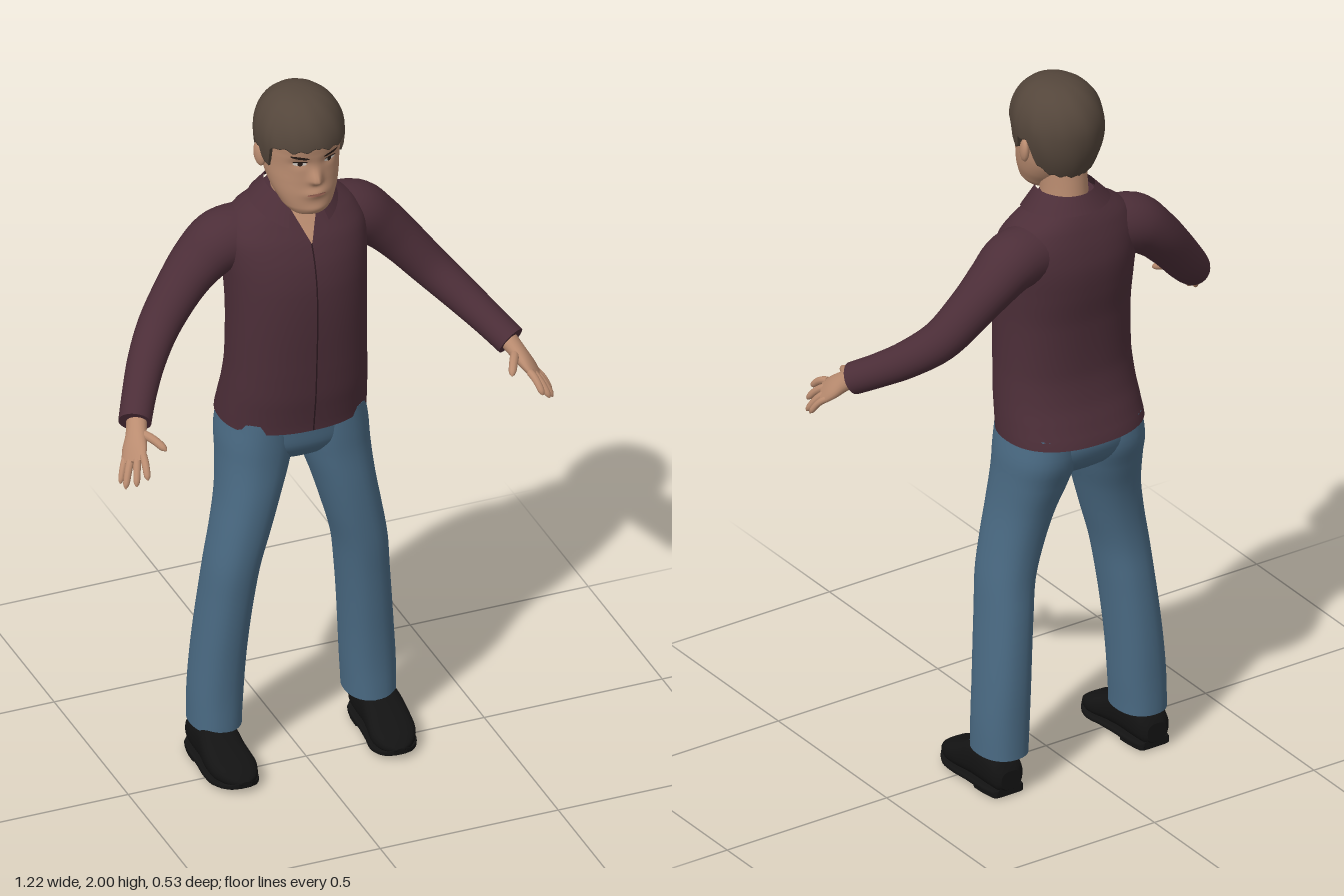
import * as THREE from 'three';

const mat = (name, color, side = THREE.FrontSide) => {
  const m = new THREE.MeshStandardMaterial({ color, side });
  m.name = name;
  return m;
};

// Smooth lookup in a table whose first column ascends
function at(rows, k) {
  let i = 0;
  while (i < rows.length - 2 && k > rows[i + 1][0]) i++;
  const b = rows[i], c = rows[i + 1], a = rows[i - 1] || b, d = rows[i + 2] || c;
  const t = (k - b[0]) / (c[0] - b[0]);
  return b.map((_, j) => j === 0 ? k : b[j] + 0.5 * t * (c[j] - a[j]
    + t * (2 * a[j] - 5 * b[j] + 4 * c[j] - d[j] + t * (3 * (b[j] - c[j]) + d[j] - a[j]))));
}

// Surface from fn(u, v); closed ones wrap in u and get end caps
function grid(fn, nu, nv, closed = true) {
  const pos = [], idx = [], w = closed ? nu : nu + 1;
  for (let j = 0; j <= nv; j++) for (let i = 0; i < w; i++) pos.push(...fn(i / nu, j / nv));
  for (let j = 0; j < nv; j++) for (let i = 0; i < nu; i++) {
    const a = j * w + i, b = j * w + (i + 1) % w;
    idx.push(a, b, a + w, b, b + w, a + w);
  }
  if (closed) for (const j of [0, nv]) {
    const ring = pos.slice(j * w * 3, (j + 1) * w * 3), s = pos.length / 3, c = [0, 0, 0];
    ring.forEach((p, i) => { c[i % 3] += p / w; });
    pos.push(...ring, ...c);
    for (let i = 0; i < w; i++) {
      const n = s + (i + 1) % w;
      idx.push(...(j ? [s + i, n, s + w] : [n, s + i, s + w]));
    }
  }
  const g = new THREE.BufferGeometry();
  g.setAttribute('position', new THREE.Float32BufferAttribute(pos, 3));
  g.setIndex(idx);
  g.computeVertexNormals();
  return g;
}

function mirrored(g) {
  const m = g.clone().scale(-1, 1, 1), a = m.index.array;
  for (let i = 0; i < a.length; i += 3) [a[i], a[i + 1]] = [a[i + 1], a[i]];
  m.computeVertexNormals();
  return m;
}

const sp = (c, e) => Math.sign(c) * Math.abs(c) ** (2 / e);

// Upright loft; rows are [y, centreX, halfWidth, frontZ, backZ]
function loft(rows, nu, nv, e = 2, extra = () => 0) {
  const y0 = rows[0][0], y1 = rows[rows.length - 1][0];
  return grid((u, v) => {
    const [y, cx, rx, zf, zb] = at(rows, y0 + (y1 - y0) * v), th = u * Math.PI * 2;
    const x = cx + rx * sp(Math.sin(th), e), c = Math.cos(th);
    return [x, y, (zf + zb) / 2 + (zf - zb) / 2 * sp(c, e) + (c > 0 ? extra(x, y) : 0)];
  }, nu, nv);
}

// Front surface depth of a loft at x, y
function frontZ(rows, x, y, e) {
  const [, , rx, zf, zb] = at(rows, y);
  return (zf + zb) / 2 + (zf - zb) / 2 * Math.max(0, 1 - Math.abs(x / rx) ** e) ** (1 / e);
}

// Limb along a path; points are [x, y, z, radius over the back, radius sideways]
const REF = new THREE.Vector3(0.73, 0.64, 0.22);
function limb(points, nu, nv) {
  const rows = points.map((p, i) => [i / (points.length - 1), ...p]);
  const P = t => new THREE.Vector3(...at(rows, t).slice(1, 4));
  return grid((u, v) => {
    const T = P(Math.min(1, v + 0.02)).sub(P(Math.max(0, v - 0.02))).normalize();
    const N = REF.clone().addScaledVector(T, -REF.dot(T)).normalize();
    const B = T.clone().cross(N), r = at(rows, v), a = u * Math.PI * 2;
    return P(v).addScaledVector(N, r[4] * Math.cos(a)).addScaledVector(B, r[5] * Math.sin(a)).toArray();
  }, nu, nv);
}

const TORSO = [[1.015, 0, .2, .048, -.265], [1.05, 0, .198, .052, -.252], [1.12, 0, .193, .062, -.227],
  [1.2, 0, .188, .068, -.212], [1.35, 0, .186, .075, -.215], [1.45, 0, .189, .072, -.228],
  [1.52, 0, .193, .058, -.231], [1.58, 0, .19, .033, -.22], [1.63, 0, .16, 0, -.203],
  [1.66, 0, .11, -.018, -.186], [1.69, 0, .07, -.028, -.165]];
const HIPS = [[.885, 0, .05, -.05, -.13], [.91, 0, .13, -.01, -.19], [.95, 0, .19, .018, -.225],
  [1, 0, .195, .026, -.238], [1.06, 0, .183, .03, -.22]];
const LEG = [[.11, .217, .068, -.018, -.187], [.2, .214, .07, -.019, -.186], [.3, .208, .069, -.014, -.185],
  [.4, .2, .068, -.005, -.18], [.5, .19, .068, .005, -.172], [.6, .178, .07, .016, -.163],
  [.7, .156, .075, .022, -.166], [.8, .133, .081, .024, -.182], [.9, .113, .092, .022, -.212],
  [.96, .105, .097, .024, -.232], [1.04, .1, .09, .026, -.232]];
const HEAD = [[1.672, 0, .025, .042, -.01], [1.68, 0, .05, .057, -.04], [1.7, 0, .068, .066, -.07],
  [1.74, 0, .086, .067, -.11], [1.78, 0, .096, .065, -.14], [1.82, 0, .1, .064, -.155],
  [1.86, 0, .103, .07, -.165], [1.9, 0, .103, .072, -.165], [1.95, 0, .08, .045, -.14], [1.975, 0, .05, 0, -.1]];

// Nose, lips and eye sockets
const bump = (x, y, cx, cy, wx, wy) => Math.exp(-(((x - cx) / wx) ** 2) - ((y - cy) / wy) ** 2);
const features = (x, y) => .024 * bump(x, y, 0, 1.786, .015, y > 1.786 ? .03 : .012)
  + .008 * bump(x, y, 0, 1.745, .03, .014) - .007 * bump(Math.abs(x), y, .042, 1.838, .022, .014)
  + .005 * bump(x, y, 0, 1.695, .03, .015);
const faceZ = (x, y) => frontZ(HEAD, x, y, 2.2) + features(x, y);

// Thin painted patch laid on the face
function patch(cx, cy, rx, ry, tilt, lift) {
  const g = new THREE.CircleGeometry(1, 20).scale(rx, ry, 1).rotateZ(tilt).translate(cx, cy, 0);
  const p = g.attributes.position;
  for (let i = 0; i < p.count; i++) p.setZ(i, faceZ(p.getX(i), p.getY(i)) + lift);
  g.computeVertexNormals();
  return g;
}

// Hairline height by angle from the front
const HAIRLINE = [[0, 1.888], [.5, 1.88], [.95, 1.886], [1.12, 1.868], [1.22, 1.815], [1.42, 1.815], [1.5, 1.858],
  [1.8, 1.858], [1.95, 1.79], [2.3, 1.765], [3.15, 1.755]];
function hairline(th) {
  let i = 0;
  while (i < HAIRLINE.length - 2 && th > HAIRLINE[i + 1][0]) i++;
  const [a, b] = [HAIRLINE[i], HAIRLINE[i + 1]];
  return a[1] + (b[1] - a[1]) * (th - a[0]) / (b[0] - a[0]) + .004 * Math.sin(th * 19);
}
function hairPoint(u, v) {
  const th = u * Math.PI * 2, a0 = (hairline(Math.min(th, Math.PI * 2 - th)) - 1.88) / .12;
  const t = Math.max(0, (v - .06) / .94), a = a0 + (Math.PI / 2 - a0) * t;
  const y = 1.88 + .12 * (a > 0 ? Math.sin(a) : a);
  let k = a > 0 ? Math.max(0, Math.cos(a)) ** .85 : 1 - .24 * a * a;
  if (v < .03) k *= .86; // tucked under edge
  k *= 1 + .012 * Math.sin(th * 7 + y * 30) * Math.cos(th * 3);
  return [.118 * k * Math.sin(th), y, -.05 + .137 * k * Math.cos(th)];
}

// Shoe slices along z: [z, halfWidth, bottom, top]
const SHOE = [[-.176, .03, .022, .075], [-.165, .043, .014, .1], [-.12, .052, .014, .125], [-.05, .055, .014, .13],
  [0, .06, .014, .1], [.05, .062, .014, .075], [.085, .05, .017, .06], [.107, .032, .022, .046], [.116, .012, .028, .036]];
const shoe = (z0, z1, grow, yFix) => grid((u, v) => {
  const [z, w, b, t] = at(SHOE, z0 + (z1 - z0) * v), a = u * Math.PI * 2;
  const [lo, hi] = yFix ? [yFix[0] + (b - .014) * .7, yFix[1] + (b - .014)] : [b, t];
  return [.229 + (w + grow) * sp(Math.cos(a), yFix ? 6 : 2.6) - Math.max(0, z) * .1,
    (lo + hi) / 2 + (hi - lo) / 2 * sp(Math.sin(a), yFix ? 6 : 2.6), z];
}, 28, 28);

export function createModel() {
  const root = new THREE.Group();
  root.name = 'standingMan';
  const skin = mat('skin', 0xba8c70), hair = mat('brown hair', 0x54463b), shirt = mat('maroon shirt', 0x4c2e38);
  const cloth = mat('maroon collar', 0x4c2e38, THREE.DoubleSide), seam = mat('dark seam', 0x2c1920);
  const denim = mat('blue trousers', 0x4a6a83), black = mat('black leather', 0x131313);
  const white = mat('eye white', 0xd8d0c8), dark = mat('dark brown', 0x2a1d18), lip = mat('lips', 0x9c6656);
  const add = (name, g, m) => {
    const mesh = new THREE.Mesh(g, m);
    mesh.name = name;
    root.add(mesh);
  };
  const pair = (name, g, m) => {
    add(name + 'Left', g, m);
    add(name + 'Right', mirrored(g), m);
  };

  // Shirt, with an open neck and a front seam
  add('shirtBody', loft(TORSO, 56, 48, 2.3), shirt);
  pair('sleeve', limb([[.12, 1.555, -.115, .08, .085], [.19, 1.545, -.12, .08, .085], [.25, 1.5, -.12, .068, .077],
    [.31, 1.437, -.108, .06, .066], [.38, 1.355, -.078, .054, .058], [.44, 1.292, -.02, .049, .051],
    [.49, 1.24, .05, .044, .046], [.528, 1.2, .112, .042, .044]], 28, 36), shirt);
  const onChest = (x, y, d) => [x, y, frontZ(TORSO, x, y, 2.3) + d];
  add('openNeck', grid((u, v) => onChest((u - .5) * .1 * v, 1.575 + .115 * v, .004), 8, 12, false), skin);
  add('frontSeam', grid((u, v) => onChest((u - .5) * .004, 1.018 + .56 * v, .003), 1, 40, false), seam);
  add('collar', grid((u, v) => {
    const th = .5 + u * (Math.PI * 2 - 1), c = ((1 + Math.cos(th)) / 2) ** 3, s = Math.sin(th), k = Math.cos(th);
    const top = [.076 * s, 1.708 - .02 * c, -.088 + .082 * k];
    const low = [.118 * s, 1.665 - .05 * c, -.095 + .104 * k + .026 * c];
    return top.map((p, i) => low[i] + (p - low[i]) * v);
  }, 48, 4, false), cloth);

  // Trousers
  add('hips', loft(HIPS, 48, 16, 2.3), denim);
  pair('trouserLeg', loft(LEG, 32, 48, 2.25), denim);

  // Shoes with sole and heel
  pair('shoe', shoe(-.176, .116, 0), black);
  pair('sole', shoe(-.172, .114, .003, [.008, .022]), black);
  pair('heel', shoe(-.17, -.085, .002, [0, .016]), black);

  // Hands
  pair('palm', limb([[.515, 1.215, .095, .026, .028], [.535, 1.183, .138, .022, .03],
    [.552, 1.156, .168, .018, .038], [.566, 1.132, .196, .01, .038]], 20, 14), skin);
  const tips = [[.555, 1.115, .266], [.58, 1.092, .25], [.6, 1.075, .223], [.605, 1.08, .2]];
  const finger = (a, b, r) => {
    const p = t => a.map((q, i) => q + (b[i] - q) * t + (i === 1 ? .008 * Math.sin(t * Math.PI) : 0));
    return limb([[0, 1], [.3, 1], [.6, .95], [.88, .8], [1, .15]].map(([t, k]) => [...p(t), r * k, r * k]), 10, 16);
  };
  tips.forEach((tip, i) => {
    const o = -.03 + i * .02;
    pair('finger' + (i + 1), finger([.56 + .555 * o, 1.142 - .39 * o, .185 - .73 * o], tip, i === 3 ? .009 : .0105), skin);
  });
  pair('thumb', finger([.53, 1.185, .14], [.485, 1.165, .224], .012), skin);

  // Head and neck
  add('neck', loft([[1.58, 0, .075, -.02, -.16], [1.65, 0, .064, -.016, -.157], [1.7, 0, .06, -.01, -.152],
    [1.78, 0, .062, .0, -.145]], 32, 10), skin);
  add('head', loft(HEAD, 96, 84, 2.2, features), skin);
  pair('ear', new THREE.SphereGeometry(1, 16, 12).scale(.012, .034, .021).rotateX(-.15).rotateY(-.3)
    .translate(.107, 1.822, -.058), skin);
  add('hair', grid(hairPoint, 96, 40), hair);

  // Painted face
  pair('eyeWhite', patch(.042, 1.838, .017, .0065, 0, .003), white);
  pair('iris', patch(.041, 1.838, .0065, .0065, 0, .005), dark);
  pair('upperLid', patch(.042, 1.845, .019, .0025, 0, .005), dark);
  pair('eyebrow', patch(.043, 1.859, .024, .0042, .16, .004), dark);
  add('mouth', patch(0, 1.745, .026, .0045, 0, .003), lip);
  return root;
}
